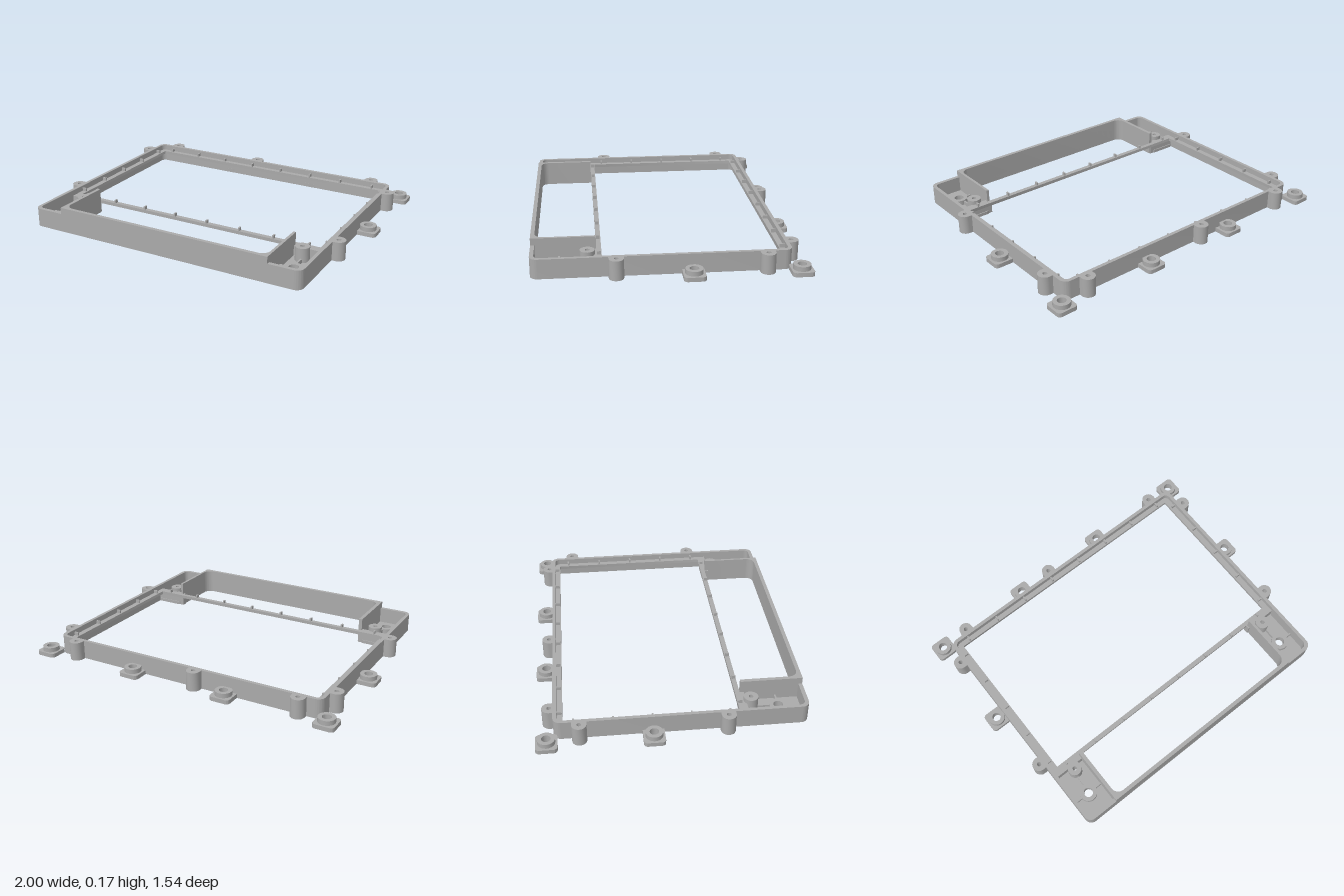
import * as THREE from 'three';
import { toCreasedNormals } from 'three/addons/utils/BufferGeometryUtils.js';

const grey = new THREE.MeshStandardMaterial({ color: 0xaaaaaa });
grey.name = 'plastic grey';

// Rounded rectangle in plan; z runs towards the front, so it is negated in the shape
function roundRect(x0, x1, z0, z1, r, Type = THREE.Shape) {
  const p = new Type(), a = -z1, b = -z0;
  p.moveTo(x0 + r, a);
  p.lineTo(x1 - r, a);
  p.absarc(x1 - r, a + r, r, -Math.PI / 2, 0);
  p.absarc(x1 - r, b - r, r, 0, Math.PI / 2);
  p.absarc(x0 + r, b - r, r, Math.PI / 2, Math.PI);
  p.absarc(x0 + r, a + r, r, Math.PI, Math.PI * 1.5);
  return p;
}

function disc(x, z, r, Type = THREE.Shape) {
  const p = new Type();
  p.absarc(x, -z, r, 0, Math.PI * 2);
  return p;
}

export function createModel() {
  const model = new THREE.Group();
  model.name = 'displayFrame';

  const add = (name, geometry) => {
    const mesh = new THREE.Mesh(geometry, grey);
    mesh.name = name;
    model.add(mesh);
    return mesh;
  };
  // Plan shape raised from y0 to y1
  const slab = (name, shape, y0, y1, holes = []) => {
    shape.holes.push(...holes);
    const g = new THREE.ExtrudeGeometry(shape, { depth: y1 - y0, bevelEnabled: false, curveSegments: 10 });
    g.rotateX(-Math.PI / 2).translate(0, y0, 0);
    return add(name, toCreasedNormals(g, 0.6));
  };
  const box = (name, x0, x1, y0, y1, z0, z1) => {
    const g = new THREE.BoxGeometry(Math.abs(x1 - x0), y1 - y0, z1 - z0);
    return add(name, g.translate((x0 + x1) / 2, (y0 + y1) / 2, (z0 + z1) / 2));
  };
  const ring = (name, x, z, r, hole, y0, y1) =>
    slab(name, disc(x, z, r), y0, y1, [disc(x, z, hole, THREE.Path)]);

  const base = 0.01, top = 0.125;

  // Outer wall and the inner ledge that carries the panel
  slab('outerWall', roundRect(-0.888, 0.888, -0.668, 0.768, 0.045), base, top,
    [roundRect(-0.867, 0.867, -0.647, 0.745, 0.03, THREE.Path)]);
  slab('panelLedge', roundRect(-0.875, 0.875, -0.655, 0.404, 0.02), 0.07, 0.09,
    [roundRect(-0.832, 0.832, -0.615, 0.376, 0.004, THREE.Path)]);

  // Small locating ribs along the ledge
  for (let i = 0; i < 8; i++) {
    const x = -0.775 + i * 0.2205;
    box('backRib', x - 0.005, x + 0.005, 0.085, 0.11, -0.65, -0.62);
    box('frontRib', x - 0.005, x + 0.005, 0.085, 0.11, 0.38, 0.402);
  }
  for (const s of [-1, 1]) {
    for (let i = 0; i < 5; i++) {
      const z = -0.555 + i * 0.2195;
      box('sideRib', s * 0.87, s * 0.84, 0.085, 0.11, z - 0.005, z + 0.005);
    }
  }

  // Raised three-sided wall around the front bay
  const bay = new THREE.Shape();
  bay.moveTo(-0.685, -0.405);
  bay.lineTo(-0.685, -0.768);
  bay.lineTo(0.692, -0.768);
  bay.lineTo(0.692, -0.405);
  bay.lineTo(0.676, -0.405);
  bay.lineTo(0.676, -0.695);
  bay.absarc(0.626, -0.695, 0.05, 0, -Math.PI / 2, true);
  bay.lineTo(-0.613, -0.745);
  bay.absarc(-0.613, -0.695, 0.05, -Math.PI / 2, -Math.PI, true);
  bay.lineTo(-0.663, -0.405);
  slab('bayWall', bay, base, 0.165);

  // Corner pockets beside the bay
  for (const s of [-1, 1]) {
    const inner = s * 0.68, outer = s * 0.88;
    const bx = s * 0.757, mx = s * 0.777;
    slab('pocketFloor', roundRect(Math.min(inner, outer), Math.max(inner, outer), 0.39, 0.76, 0.03), base, 0.03,
      [disc(bx, 0.455, 0.013, THREE.Path), disc(mx, 0.612, 0.028, THREE.Path)]);
    box('pocketBackWall', s * 0.87, s * 0.668, base, 0.09, 0.396, 0.428);
    ring('pocketTallBoss', bx, 0.455, 0.042, 0.013, 0.03, 0.115);
    ring('pocketLowBoss', mx, 0.612, 0.052, 0.028, 0.03, 0.06);
    box('pocketRib', s * 0.87, s * 0.827, 0.03, 0.055, 0.607, 0.617);
    box('pocketRib', s * 0.728, s * 0.685, 0.03, 0.055, 0.607, 0.617);
    box('pocketRib', s * 0.763, s * 0.773, 0.03, 0.055, 0.49, 0.563);
    const foot = new THREE.CylinderGeometry(0.015, 0.015, 0.014, 20);
    add('footPin', foot.translate(s * 0.73, 0.007, 0.695));
  }

  // Tall screw bosses around the outside, each with a neck to the wall
  for (const x of [-0.757, -0.1, 0.745]) {
    ring('backBoss', x, -0.688, 0.042, 0.013, base, top);
    for (const d of [-1, 1]) box('bossNeck', x + d * 0.042, x + d * 0.02, base, top, -0.688, -0.66);
  }
  for (const s of [-1, 1]) {
    for (const z of [-0.525, 0.303]) {
      ring('sideBoss', s * 0.91, z, 0.042, 0.013, base, top);
      for (const d of [-1, 1]) {
        box('bossNeck', s * 0.88, s * 0.91, base, top, z + d * 0.031 - 0.011, z + d * 0.031 + 0.011);
      }
    }
  }

  // Low mounting pads with a raised collar
  const pads = [];
  for (const s of [-1, 1]) pads.push([s * 0.935, -0.707], [s * 0.31, -0.707], [s * 0.937, -0.115]);
  for (const [x, z] of pads) {
    slab('mountPad', roundRect(x - 0.063, x + 0.063, z - 0.061, z + 0.061, 0.022), base, 0.035,
      [disc(x, z, 0.026, THREE.Path)]);
    ring('mountCollar', x, z, 0.05, 0.026, 0.035, 0.062);
  }
  return model;
}
